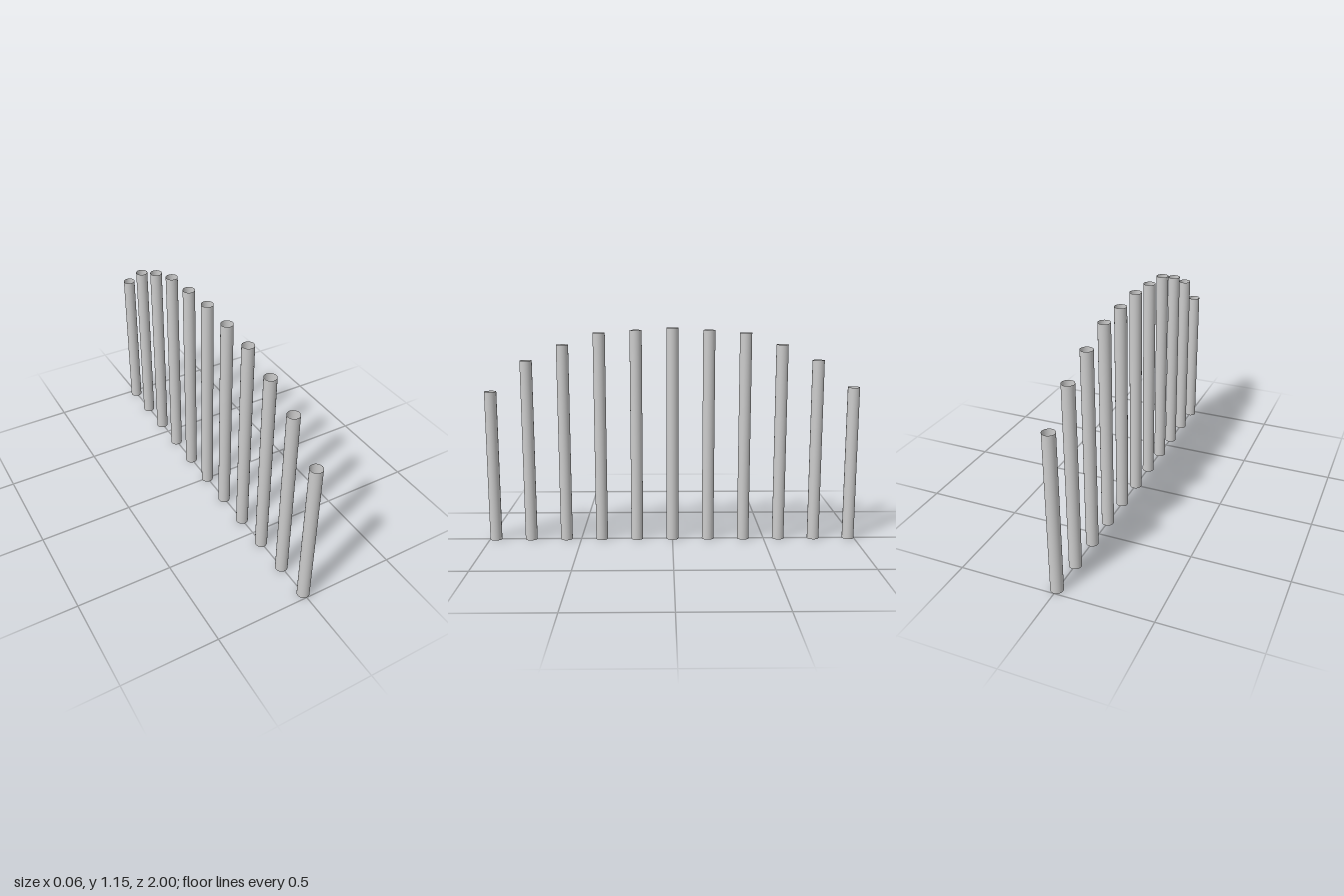
import * as THREE from 'three';

const RADIUS = 0.032;
const SPACING = 0.1936;
// Tube heights from the front (+z) to the back (-z)
const HEIGHTS = [0.816, 0.98, 1.063, 1.125, 1.139, 1.151, 1.139, 1.125, 1.063, 0.98, 0.836];

export function createModel() {
  const model = new THREE.Group();
  model.name = 'tubeRow';
  const material = new THREE.MeshStandardMaterial({ color: 0xcccccc, side: THREE.DoubleSide });

  // Open, thin-walled upright tubes in a straight row with an arched top line
  HEIGHTS.forEach((height, i) => {
    const geometry = new THREE.CylinderGeometry(RADIUS, RADIUS, height, 32, 1, true);
    const tube = new THREE.Mesh(geometry, material);
    tube.name = `tube${i + 1}`;
    tube.position.set(0, height / 2, ((HEIGHTS.length - 1) / 2 - i) * SPACING);
    model.add(tube);
  });
  return model;
}
